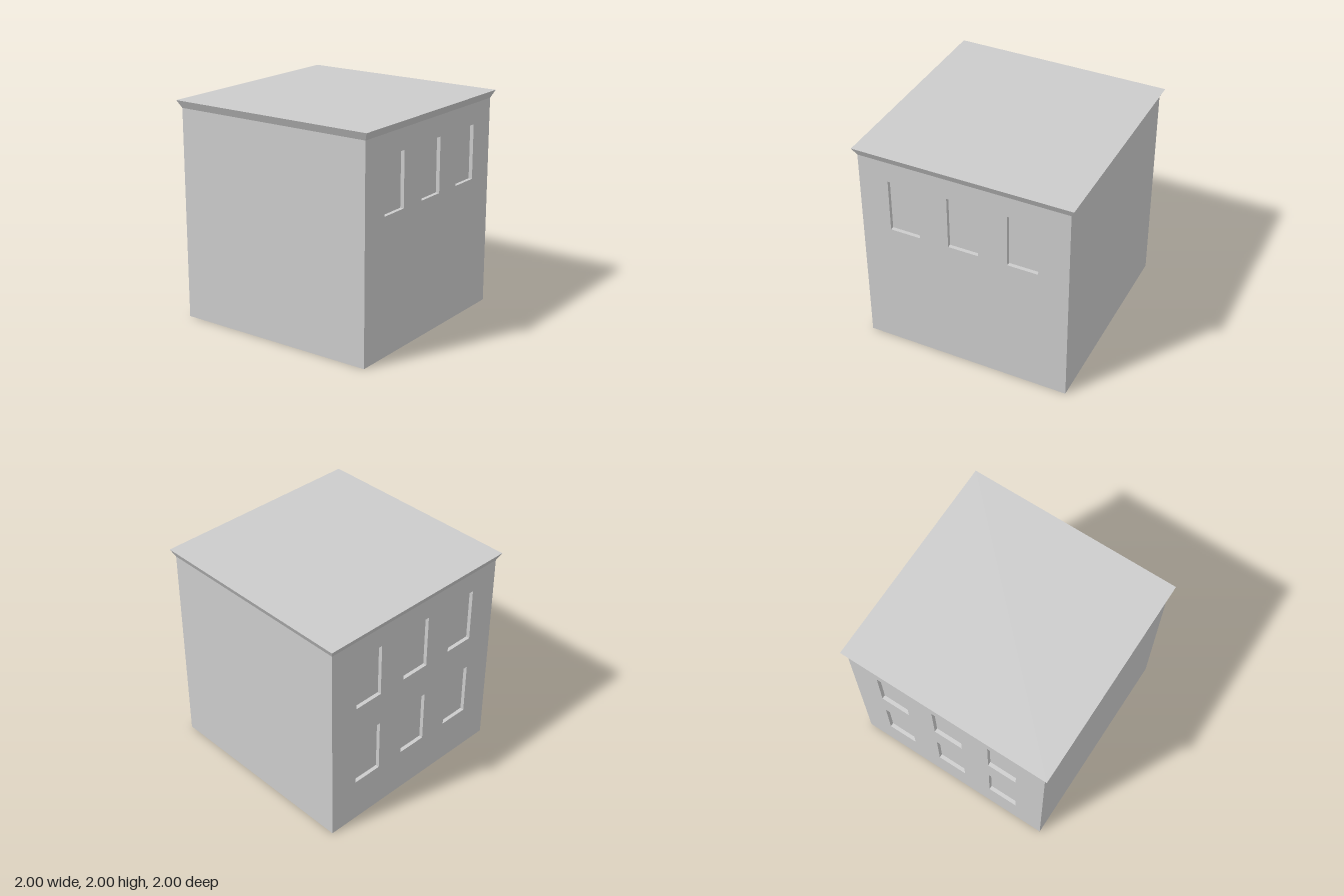
import * as THREE from 'three';

const HALF = 0.965;      // half width of the walls
const WALL_TOP = 1.93;   // where the cornice starts
const DEPTH = 0.035;     // window recess
const WIN_W = 0.28, WIN_H = 0.5;
const COLUMNS = [-0.55, 0, 0.55];

const material = new THREE.MeshStandardMaterial({ color: 0xcccccc, flatShading: true });

function addMesh(parent, name, geometry, x = 0, y = 0, z = 0) {
  const mesh = new THREE.Mesh(geometry, material);
  mesh.name = name;
  mesh.position.set(x, y, z);
  parent.add(mesh);
  return mesh;
}

// Recessed window: pane, two jambs, sill and lintel, centred on (x, y)
function createWindow(x, y) {
  const win = new THREE.Group();
  win.name = 'window';
  win.position.set(x, y, HALF);
  const mid = -DEPTH / 2;
  addMesh(win, 'pane', new THREE.PlaneGeometry(WIN_W, WIN_H), 0, 0, -DEPTH);
  for (const s of [-1, 1]) {
    addMesh(win, 'jamb', new THREE.PlaneGeometry(DEPTH, WIN_H).rotateY(-s * Math.PI / 2), s * WIN_W / 2, 0, mid);
    addMesh(win, s < 0 ? 'sill' : 'lintel',
      new THREE.PlaneGeometry(WIN_W, DEPTH).rotateX(s * Math.PI / 2), 0, s * WIN_H / 2, mid);
  }
  return win;
}

// Wall facing +z with an opening for every window; rows are sill heights
function createWall(name, rows) {
  const wall = new THREE.Group();
  wall.name = name;
  const shape = new THREE.Shape([
    new THREE.Vector2(-HALF, 0), new THREE.Vector2(HALF, 0),
    new THREE.Vector2(HALF, WALL_TOP), new THREE.Vector2(-HALF, WALL_TOP),
  ]);
  for (const sill of rows) {
    for (const x of COLUMNS) {
      const l = x - WIN_W / 2, r = x + WIN_W / 2, t = sill + WIN_H;
      shape.holes.push(new THREE.Path([
        new THREE.Vector2(l, sill), new THREE.Vector2(l, t),
        new THREE.Vector2(r, t), new THREE.Vector2(r, sill),
      ]));
      wall.add(createWindow(x, sill + WIN_H / 2));
    }
  }
  addMesh(wall, 'wallFace', new THREE.ShapeGeometry(shape), 0, 0, HALF);
  return wall;
}

export function createModel() {
  const building = new THREE.Group();
  building.name = 'building';

  // Four walls, turned in quarter steps
  const walls = [
    ['frontWall', []],
    ['leftWall', [1.24]],
    ['backWall', []],
    ['rightWall', [1.24, 0.42]],
  ];
  walls.forEach(([name, rows], i) => {
    const wall = createWall(name, rows);
    wall.rotation.y = i * Math.PI / 2;
    building.add(wall);
  });

  // Sloped cornice, flat roof and base
  const corniceHeight = 2 - WALL_TOP;
  addMesh(building, 'cornice',
    new THREE.CylinderGeometry(Math.SQRT2, HALF * Math.SQRT2, corniceHeight, 4, 1, true).rotateY(Math.PI / 4),
    0, WALL_TOP + corniceHeight / 2, 0);
  addMesh(building, 'roof', new THREE.PlaneGeometry(2, 2).rotateX(-Math.PI / 2), 0, 2, 0);
  addMesh(building, 'base', new THREE.PlaneGeometry(2 * HALF, 2 * HALF).rotateX(Math.PI / 2));

  return building;
}
